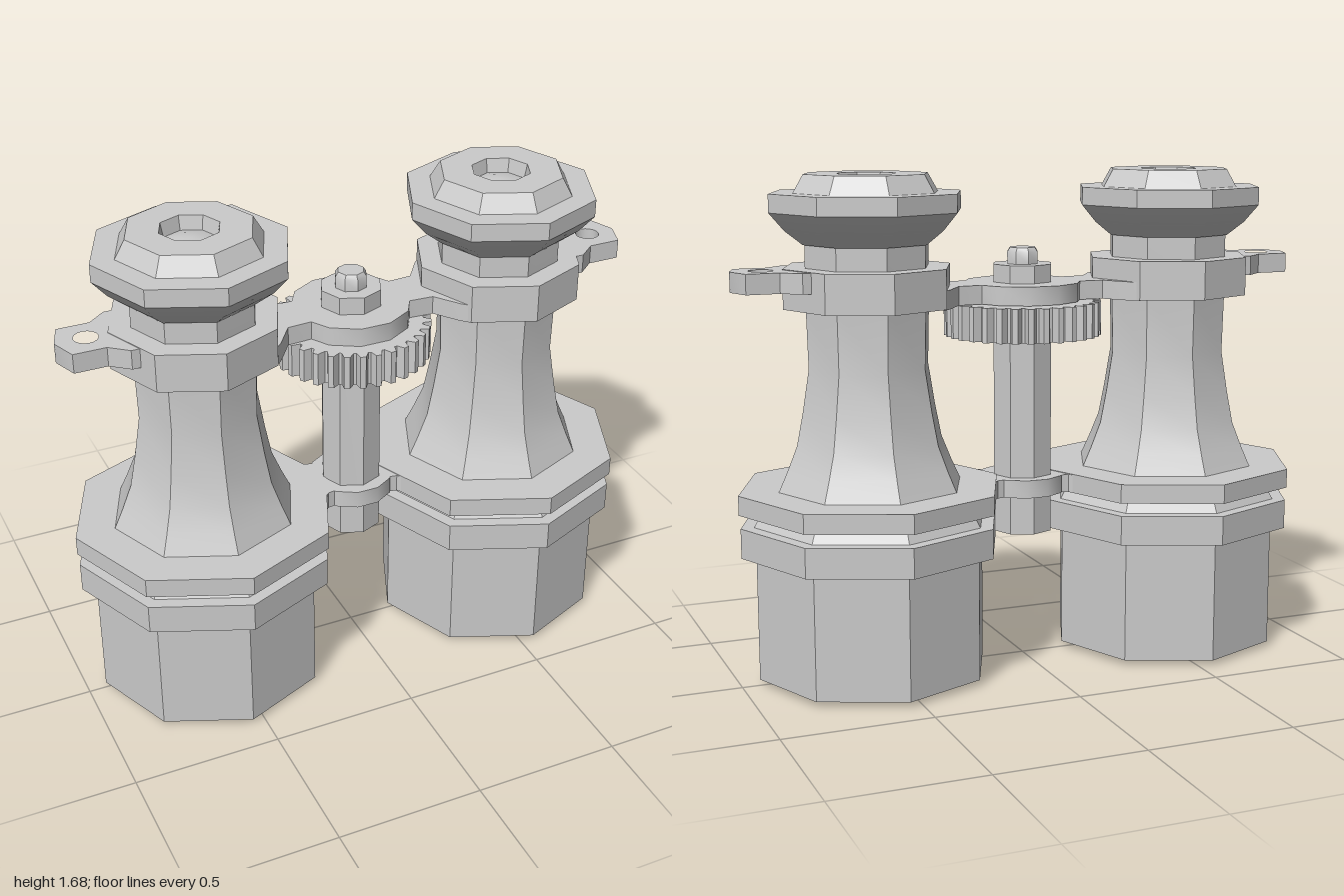
import * as THREE from 'three';
import { toCreasedNormals } from 'three/addons/utils/BufferGeometryUtils.js';

const material = new THREE.MeshStandardMaterial({ color: 0xcccccc });
const BARREL_X = 0.545;

function add(parent, name, geometry) {
  const mesh = new THREE.Mesh(toCreasedNormals(geometry, 0.6), material);
  mesh.name = name;
  parent.add(mesh);
  return mesh;
}

// Octagonal turned part, profile given as [radius, y] from bottom to top
function turned(parent, name, profile, sides = 8) {
  const points = profile.map(([r, y]) => new THREE.Vector2(r, y));
  return add(parent, name, new THREE.LatheGeometry(points, sides));
}

// Flat plate from an [x, z] outline between two heights
function plate(parent, name, outline, y0, y1, hole) {
  const shape = new THREE.Shape(outline.map(([x, z]) => new THREE.Vector2(x, -z)));
  if (hole) {
    shape.holes.push(new THREE.Path().absarc(hole.x, 0, hole.r, 0, Math.PI * 2, true));
  }
  const geometry = new THREE.ExtrudeGeometry(shape, {
    depth: y1 - y0, bevelEnabled: false, curveSegments: 8,
  });
  geometry.rotateX(-Math.PI / 2).translate(0, y0, 0);
  return add(parent, name, geometry);
}

const mirrorZ = (half) => [...half, ...half.map(([x, z]) => [x, -z]).reverse()];
const mirrorX = (half) => [...half, ...half.map(([x, z]) => [-x, z]).reverse()];

// Regular polygon outline, rotated by half a step
function polygon(radius, sides) {
  return Array.from({ length: sides }, (_, i) => {
    const a = ((i + 0.5) / sides) * Math.PI * 2;
    return [radius * Math.cos(a), radius * Math.sin(a)];
  });
}

function createBarrel(side) {
  const barrel = new THREE.Group();
  barrel.name = side > 0 ? 'leftBarrel' : 'rightBarrel';

  // Domed objective lens recessed in the barrel mouth
  turned(barrel, 'objectiveLens', [
    [0, 0], [0.08, 0.006], [0.15, 0.022], [0.23, 0.052], [0.315, 0.1],
  ]);
  turned(barrel, 'objectiveHousing', [
    [0.31, 0.11], [0.31, 0.02], [0.395, 0.02], [0.395, 0.44],
    [0.445, 0.44], [0.445, 0.54], [0.4, 0.54], [0.375, 0.585],
  ]);
  turned(barrel, 'lowerFlange', [
    [0.3, 0.585], [0.45, 0.585], [0.45, 0.65], [0.3, 0.65],
  ]);
  // Flared tube up to the eyepiece neck
  turned(barrel, 'flaredTube', [
    [0.315, 0.65], [0.285, 0.715], [0.25, 0.8], [0.228, 0.91],
    [0.205, 1.05], [0.21, 1.25], [0.21, 1.46],
  ]);
  turned(barrel, 'upperCollar', [
    [0.2, 1.25], [0.285, 1.25], [0.285, 1.38], [0.2, 1.38],
  ]);
  // Eyecup with its recessed opening
  turned(barrel, 'eyecup', [
    [0.2, 1.455], [0.215, 1.455], [0.275, 1.502], [0.325, 1.56], [0.325, 1.62],
    [0.245, 1.62], [0.21, 1.68], [0.1, 1.68], [0.09, 1.63],
  ]);
  turned(barrel, 'eyeLens', [[0.1, 1.63], [0.05, 1.643], [0, 1.648]]);

  // Strap lug on the outer side
  const lug = mirrorZ([
    [0.22, 0.14], [0.255, 0.14], [0.315, 0.09], [0.425, 0.09], [0.455, 0.005],
  ]).map(([x, z]) => [x * side, z]);
  plate(barrel, 'strapLug', lug, 1.312, 1.378, { x: 0.355 * side, r: 0.04 });

  barrel.position.x = BARREL_X * side;
  return barrel;
}

function createFocusMechanism() {
  const focus = new THREE.Group();
  focus.name = 'focusMechanism';

  turned(focus, 'centralColumn', [[0, 0.45], [0.105, 0.45], [0.105, 1.2], [0, 1.2]]);

  // Toothed focus wheel
  const teeth = 32;
  const wheel = [];
  for (let i = 0; i < teeth; i++) {
    [[0, 0.24], [0.25, 0.267], [0.6, 0.267], [0.8, 0.24]].forEach(([t, r]) => {
      const a = ((i + t) / teeth) * Math.PI * 2;
      wheel.push([r * Math.cos(a), r * Math.sin(a)]);
    });
  }
  plate(focus, 'focusWheel', wheel, 1.13, 1.245);

  turned(focus, 'capNut', [
    [0, 1.3], [0.105, 1.3], [0.105, 1.37], [0.055, 1.37],
    [0.055, 1.41], [0.045, 1.425], [0, 1.425],
  ]);
  return focus;
}

// Ring around the column with flared arms reaching both barrels
function createBridge(name, radius, arm, y0, y1) {
  const bridge = new THREE.Group();
  bridge.name = name;
  plate(bridge, name + 'Ring', polygon(radius, 12), y0, y1);
  const back = mirrorX(arm);
  const front = back.map(([x, z]) => [x, -z]).reverse();
  plate(bridge, name + 'Arms', [...back, ...front], y0, y1);
  return bridge;
}

export function createModel() {
  const model = new THREE.Group();
  model.name = 'binoculars';
  model.add(createBarrel(1), createBarrel(-1), createFocusMechanism());
  model.add(createBridge('upperBridge', 0.2,
    [[0.35, 0.2], [0.32, 0.17], [0.26, 0.085], [0.18, 0.08]], 1.247, 1.31));
  model.add(createBridge('lowerBridge', 0.145,
    [[0.2, 0.19], [0.17, 0.14], [0.13, 0.1], [0.1, 0.095]], 0.587, 0.648));
  return model;
}
